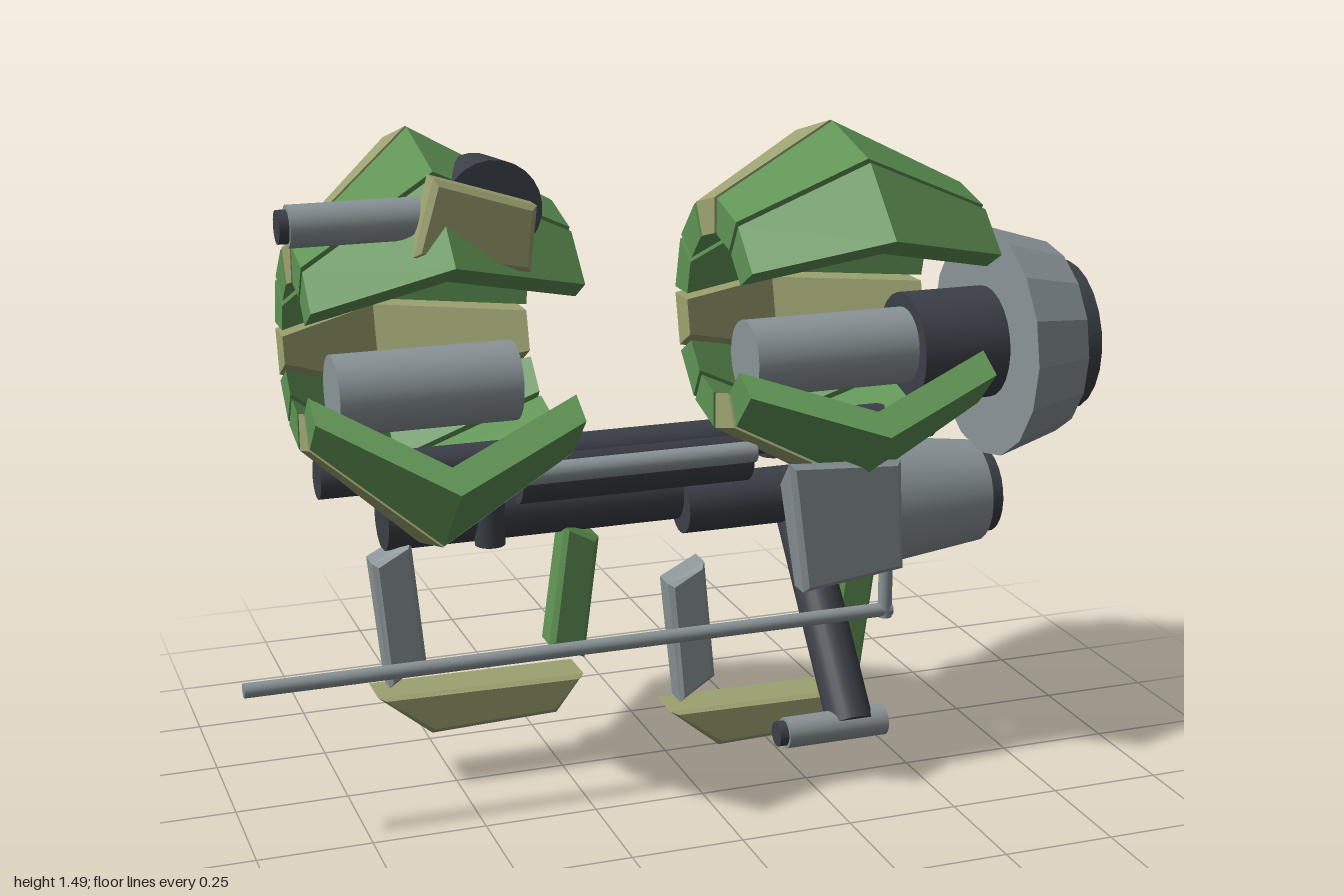
import * as THREE from 'three';

const mat = (name, color, flatShading = false) => {
  const m = new THREE.MeshStandardMaterial({ color, flatShading });
  m.name = name;
  return m;
};

export function createModel() {
  const green = mat('leaf green', 0x5f9354, true);
  const olive = mat('olive', 0x9ca270, true);
  const grey = mat('steel grey', 0x8a9498);
  const dark = mat('dark metal', 0x3b3f47);
  const model = new THREE.Group();

  const add = (name, geo, material, parent = model) => {
    const mesh = new THREE.Mesh(geo, material);
    mesh.name = name;
    parent.add(mesh);
    return mesh;
  };

  // Round bar between two points, with its own radius at each end
  const bar = (name, a, b, ra, rb, material, sides = 24) => {
    const from = new THREE.Vector3(...a), to = new THREE.Vector3(...b);
    const dir = to.clone().sub(from);
    let geo = new THREE.CylinderGeometry(rb, ra, dir.length(), sides);
    if (sides < 20) {
      geo = geo.toNonIndexed();
      geo.computeVertexNormals();
    }
    const mesh = add(name, geo, material);
    mesh.position.copy(from).add(to).multiplyScalar(0.5);
    mesh.quaternion.setFromUnitVectors(new THREE.Vector3(0, 1, 0), dir.normalize());
    return mesh;
  };
  const barX = (name, x0, x1, y, z, r0, r1, material, sides) =>
    bar(name, [x0, y, z], [x1, y, z], r0, r1, material, sides);

  // Bevelled plate with an outline in x and y, from z0 to z1
  const plate = (name, pts, z0, z1, material, parent) => {
    const b = 0.012;
    const shape = new THREE.Shape(pts.map(p => new THREE.Vector2(...p)));
    const geo = new THREE.ExtrudeGeometry(shape, {
      depth: z1 - z0 - 2 * b, bevelThickness: b, bevelSize: b, bevelOffset: -b, bevelSegments: 1,
    });
    geo.translate(0, 0, z0 + b);
    return add(name, geo, material, parent);
  };

  // Curved shell of ten ridged armour segments, open at the front
  const CY = 1.048, CZ = 0.033, THICK = 0.08, GAP = 0.007;
  const shellSegment = (profile, t0, t1) => {
    const n = profile.length, pos = [];
    const point = (i, t, side) => {
      const [x, r] = profile[i];
      const a = t + side * GAP / r;
      return [x, CY + r * Math.sin(a), CZ - r * Math.cos(a)];
    };
    const A = i => point(i, t0, 1), B = i => point(i, t1, -1);
    const quad = (a, b, c, d) => pos.push(...a, ...b, ...c, ...a, ...c, ...d);
    for (let i = 0; i < n; i++) {
      const j = (i + 1) % n;
      quad(A(i), B(i), B(j), A(j));
    }
    quad(A(0), A(1), A(4), A(5));
    quad(A(1), A(2), A(3), A(4));
    quad(B(5), B(4), B(1), B(0));
    quad(B(4), B(3), B(2), B(1));
    const geo = new THREE.BufferGeometry();
    geo.setAttribute('position', new THREE.Float32BufferAttribute(pos, 3));
    geo.computeVertexNormals();
    return geo;
  };
  const shell = (name, outer) => {
    const group = new THREE.Group();
    group.name = name;
    const inner = outer.map(([x, r]) => [x, r - THICK]).reverse();
    for (let k = -5; k < 5; k++) {
      const isOlive = (k + 7) % 3 === 0;
      const geo = shellSegment([...outer, ...inner], k * Math.PI / 6, (k + 1) * Math.PI / 6);
      add('armourSegment', geo, isOlive ? olive : green, group);
    }
    model.add(group);
  };
  shell('rightShell', [[-0.83, 0.22], [-0.58, 0.452], [-0.27, 0.28]]);
  shell('leftShell', [[0.105, 0.26], [0.375, 0.415], [0.69, 0.26]]);

  // Tubes inside the shells with their supports
  barX('rightCoreTube', -0.75, -0.35, 0.93, 0, 0.088, 0.088, grey);
  barX('leftCoreTube', 0.19, 0.6, 0.93, 0, 0.088, 0.088, grey);
  bar('rightPeg', [-0.41, 0.56, 0], [-0.41, 0.74, 0], 0.034, 0.034, dark);
  bar('leftPeg', [0.26, 0.7, 0], [0.26, 0.88, 0], 0.034, 0.034, dark);

  // Main frame
  barX('mainBeam', -0.79, 0.65, 0.75, 0, 0.045, 0.045, dark);
  barX('beamSleeve', -0.35, 0.19, 0.715, 0, 0.067, 0.067, dark);
  barX('frontPipe', -0.35, 0.19, 0.732, 0.065, 0.024, 0.024, grey);
  barX('lowerBeam', -0.64, 0.04, 0.625, -0.055, 0.07, 0.07, dark);
  barX('engineNeck', 0.06, 0.5, 0.58, -0.065, 0.066, 0.066, dark);

  // Large upper engine
  barX('upperEngineBody', 0.58, 0.82, 0.92, -0.005, 0.13, 0.13, dark);
  barX('upperEngineRing', 0.79, 0.94, 0.92, -0.005, 0.27, 0.225, grey, 16);
  barX('upperEngineCap', 0.93, 1.0, 0.92, -0.005, 0.176, 0.176, dark);

  // Lower engine
  barX('lowerEngine', 0.46, 0.81, 0.53, -0.087, 0.165, 0.122, grey);
  barX('lowerEngineCap', 0.8, 0.845, 0.53, -0.087, 0.103, 0.103, dark);

  // Strut with foot bar
  bar('strut', [0.35, 0.53, -0.06], [0.35, 0.13, 0.265], 0.053, 0.053, dark);
  barX('footBar', 0.19, 0.43, 0.13, 0.265, 0.035, 0.035, grey);
  barX('footBarTip', 0.17, 0.192, 0.13, 0.265, 0.028, 0.028, dark);

  // Front plate, long rod and its post
  const frontPlate = plate('frontPlate', [[0.19, 0.76], [0.455, 0.745], [0.467, 0.49], [0.228, 0.46]], 0.207, 0.28, grey);
  const p = frontPlate.geometry.attributes.position;
  for (let i = 0; i < p.count; i++) {
    if (p.getY(i) > 0.7 && p.getZ(i) < 0.25) p.setY(i, p.getY(i) - 0.06);
  }
  frontPlate.geometry.computeVertexNormals();
  barX('longRod', -1, 0.475, 0.367, 0.195, 0.016, 0.016, grey);
  bar('rodPost', [0.46, 0.35, 0.195], [0.46, 0.63, 0.195], 0.016, 0.016, grey);

  // Two landing skids of the same form
  for (const [name, x, y] of [['rightSkid', 0, 0], ['leftSkid', 0.685, -0.128]]) {
    const skid = new THREE.Group();
    skid.name = name;
    skid.position.set(x, y, 0);
    plate('skidLegOuter', [[-0.675, 0.54], [-0.587, 0.585], [-0.56, 0.3], [-0.645, 0.245]], -0.078, 0.002, grey, skid);
    plate('skidLegInner', [[-0.235, 0.585], [-0.155, 0.545], [-0.192, 0.26], [-0.275, 0.3]], -0.078, 0.002, green, skid);
    plate('skidFoot', [[-0.675, 0.232], [-0.2, 0.228], [-0.265, 0.143], [-0.555, 0.133]], -0.098, 0.02, olive, skid);
    model.add(skid);
  }

  // Cannon mounted on the right shell
  bar('cannonDrum', [-0.448, 1.365, 0.065], [-0.465, 1.365, 0.285], 0.078, 0.1, dark);
  plate('cannonPlate', [[-0.6, 1.445], [-0.39, 1.378], [-0.405, 1.243], [-0.645, 1.29]], 0.275, 0.35, olive);
  barX('cannonBarrel', -0.88, -0.6, 1.355, 0.27, 0.043, 0.043, grey);
  barX('cannonMuzzle', -0.9, -0.875, 1.355, 0.27, 0.034, 0.034, dark);

  return model;
}
